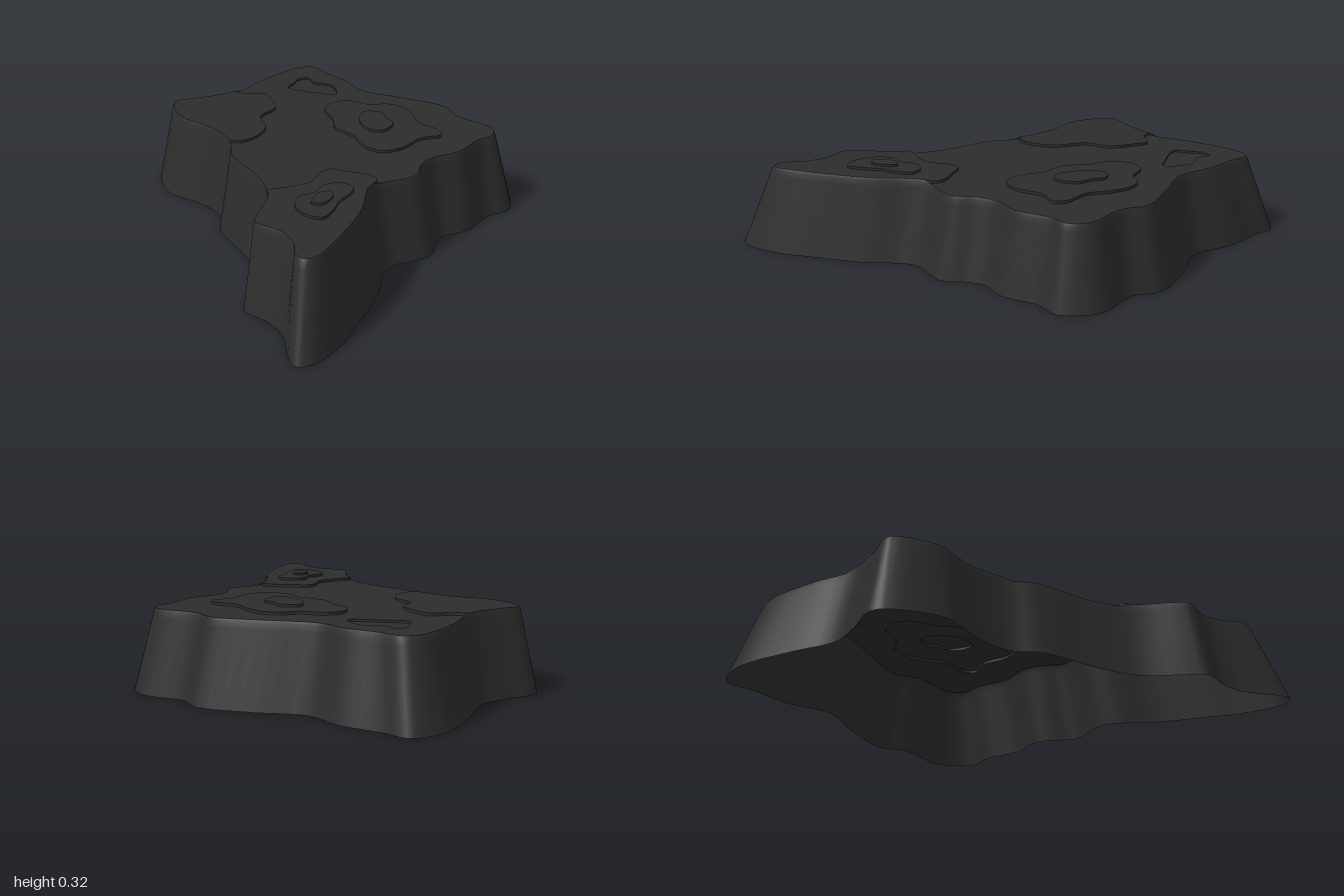
import * as THREE from 'three';

const SUB = 4; // smoothing steps per outline point
const LOW = 0.293, MID = 0.303, HIGH = 0.312, PEAK = 0.32, DIP = 0.285;

// Footprint on the ground and the matching top rim, as x, z pairs
const FOOT = [
  -0.04, -1, 0.01, -0.99, 0.06, -0.9, 0.15, -0.78, 0.21, -0.62, 0.36, -0.53, 0.52, -0.4, 0.54, -0.29,
  0.66, -0.15, 0.645, -0.01, 0.55, 0.04, 0.455, 0.145, 0.36, 0.18, 0.32, 0.225, 0.28, 0.33, 0.12, 0.4,
  0.06, 0.58, -0.03, 0.76, -0.08, 0.86, -0.19, 0.985, -0.24, 0.998, -0.265, 0.98, -0.28, 0.8, -0.32, 0.72,
  -0.39, 0.64, -0.385, 0.59, -0.34, 0.4, -0.37, 0.25, -0.45, 0.04, -0.445, -0.08, -0.52, -0.2, -0.64, -0.32,
  -0.665, -0.52, -0.63, -0.57, -0.52, -0.6, -0.4, -0.65, -0.3, -0.78, -0.15, -0.95];
const RIM = [
  -0.05, -0.885, -0.01, -0.875, 0.03, -0.8, 0.1, -0.7, 0.16, -0.57, 0.31, -0.47, 0.455, -0.36, 0.48, -0.255,
  0.585, -0.13, 0.575, -0.05, 0.51, -0.01, 0.42, 0.09, 0.32, 0.13, 0.265, 0.19, 0.23, 0.28, 0.07, 0.35,
  0.005, 0.55, -0.08, 0.72, -0.13, 0.8, -0.17, 0.855, -0.21, 0.87, -0.235, 0.84, -0.235, 0.76, -0.265, 0.68,
  -0.345, 0.6, -0.34, 0.56, -0.29, 0.4, -0.31, 0.24, -0.395, 0.03, -0.4, -0.09, -0.47, -0.23, -0.575, -0.345,
  -0.6, -0.5, -0.575, -0.525, -0.49, -0.545, -0.36, -0.6, -0.25, -0.73, -0.11, -0.86];

// Contours crossing the top from rim to rim
const WEST = [-0.36, -0.6, -0.32, -0.57, -0.24, -0.56, -0.22, -0.5, -0.21, -0.4, -0.27, -0.32, -0.26, -0.2,
  -0.31, -0.11, -0.36, -0.08, -0.4, -0.09];
const SOUTH = [-0.29, 0.4, -0.29, 0.36, -0.2, 0.34, -0.13, 0.3, -0.11, 0.25, -0.06, 0.21, 0, 0.24, 0.06, 0.27,
  0.09, 0.31, 0.07, 0.35];

// Closed contours
const NORTH_DIP = [-0.05, -0.75, -0.03, -0.69, 0.03, -0.66, 0.05, -0.6, 0.04, -0.54, -0.03, -0.57, -0.09, -0.6,
  -0.14, -0.64, -0.11, -0.7, -0.09, -0.74];
const CENTRE = [-0.02, -0.36, 0.02, -0.43, 0.09, -0.44, 0.16, -0.39, 0.23, -0.39, 0.28, -0.35, 0.31, -0.27,
  0.32, -0.18, 0.38, -0.1, 0.38, -0.05, 0.3, -0.03, 0.22, 0.05, 0.14, 0.07, 0.08, 0.01, 0.06, -0.08,
  0, -0.17, 0, -0.26];
const CENTRE_PEAK = [0.1, -0.24, 0.13, -0.3, 0.19, -0.28, 0.2, -0.22, 0.22, -0.17, 0.17, -0.1, 0.12, -0.12, 0.1, -0.17];
const SOUTH_HILL = [-0.21, 0.5, -0.19, 0.44, -0.13, 0.41, -0.1, 0.36, -0.04, 0.35, 0, 0.39, -0.02, 0.44,
  -0.06, 0.49, -0.09, 0.56, -0.13, 0.61, -0.19, 0.57];
const SOUTH_PEAK = [-0.15, 0.49, -0.13, 0.44, -0.08, 0.43, -0.08, 0.47, -0.12, 0.52, -0.155, 0.51];

// Smooth line through x, z pairs, returned as Vector2(x, z)
function smooth(flat, closed) {
  const pts = [];
  for (let i = 0; i < flat.length; i += 2) pts.push(new THREE.Vector3(flat[i], 0, flat[i + 1]));
  const curve = new THREE.CatmullRomCurve3(pts, closed);
  const out = curve.getPoints((closed ? pts.length : pts.length - 1) * SUB).map(p => new THREE.Vector2(p.x, p.z));
  if (closed) out.pop();
  return out;
}

// Level surface with optional holes
function sheet(outline, y, holes = []) {
  const flip = line => line.map(p => new THREE.Vector2(p.x, -p.y));
  const shape = new THREE.Shape(flip(outline));
  shape.holes = holes.map(h => new THREE.Path(flip(h)));
  return new THREE.ShapeGeometry(shape).rotateX(-Math.PI / 2).translate(0, y, 0);
}

// Surface joining rows of [x, y, z] points
function loft(rows, closed) {
  const n = rows[0].length, index = [];
  for (let r = 0; r < rows.length - 1; r++) {
    for (let i = 0; i < (closed ? n : n - 1); i++) {
      const a = r * n + i, b = r * n + (i + 1) % n;
      index.push(a, a + n, b, b, a + n, b + n);
    }
  }
  const geo = new THREE.BufferGeometry();
  geo.setAttribute('position', new THREE.Float32BufferAttribute(rows.flat(2), 3));
  geo.setIndex(index);
  geo.computeVertexNormals();
  return geo;
}

export function createModel() {
  const group = new THREE.Group();
  const stone = new THREE.MeshStandardMaterial({ color: 0x2d2d2d, side: THREE.DoubleSide });
  stone.name = 'charcoal';
  const add = (name, geo) => {
    const mesh = new THREE.Mesh(geo, stone);
    mesh.name = name;
    group.add(mesh);
  };
  const step = (name, line, y0, y1, closed) =>
    add(name, loft([line.map(p => [p.x, y0, p.y]), line.map(p => [p.x, y1, p.y])], closed));

  const foot = smooth(FOOT, true), rim = smooth(RIM, true);
  const west = smooth(WEST, false), south = smooth(SOUTH, false);
  const [dip, centre, centrePeak, hill, hillPeak] =
    [NORTH_DIP, CENTRE, CENTRE_PEAK, SOUTH_HILL, SOUTH_PEAK].map(c => smooth(c, true));
  const arc = (from, to) => rim.slice(from * SUB, to * SUB + 1);
  const inner = line => line.slice(1, -1);

  // Sloping outer wall, open underneath, with a softened upper edge
  const rimHeight = i => {
    const k = i / SUB;
    return (k >= 15 && k <= 26) || (k >= 29 && k <= 35) ? MID : LOW;
  };
  const wallRow = (t, drop) => foot.map((p, i) => {
    const q = p.clone().lerp(rim[i], t);
    return [q.x, t === 0 ? 0 : rimHeight(i) - drop, q.y];
  });
  add('outerWall', loft([wallRow(0, 0), wallRow(0.86, 0.03), wallRow(0.93, 0.009), wallRow(1, 0)], true));

  // Main top and the two raised ends
  const mainOutline = [...arc(0, 15), ...inner(south).reverse(), ...arc(26, 29),
    ...inner(west).reverse(), ...rim.slice(35 * SUB)];
  add('mainTop', sheet(mainOutline, LOW, [dip, centre]));
  add('westTerrace', sheet([...arc(29, 35), ...inner(west)], MID));
  add('southTerrace', sheet([...arc(15, 26), ...inner(south)], MID, [hill]));
  step('westTerraceStep', west, LOW, MID, false);
  step('southTerraceStep', south, LOW, MID, false);

  // Hollow and stepped hills
  const tiers = [
    ['northHollow', dip, LOW, DIP, []],
    ['centreHill', centre, LOW, MID, [centrePeak]],
    ['centrePeak', centrePeak, MID, HIGH, []],
    ['southHill', hill, MID, HIGH, [hillPeak]],
    ['southPeak', hillPeak, HIGH, PEAK, []],
  ];
  for (const [name, line, y0, y1, holes] of tiers) {
    add(name, sheet(line, y1, holes));
    step(name + 'Step', line, y0, y1, true);
  }
  return group;
}
